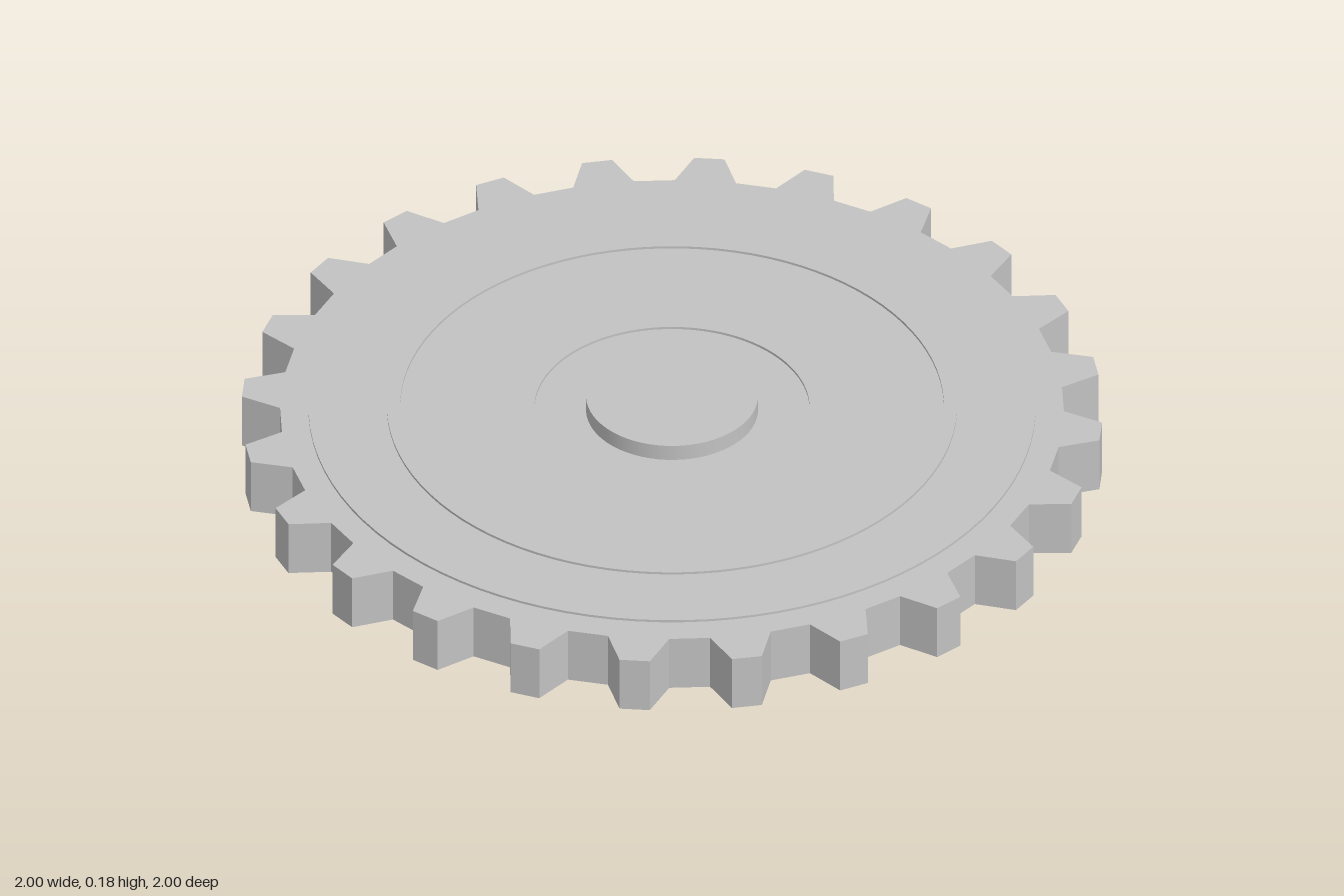
import * as THREE from 'three';
import { toCreasedNormals } from 'three/addons/utils/BufferGeometryUtils.js';

export function createModel() {
  const group = new THREE.Group();
  group.name = 'gear';
  const steel = new THREE.MeshStandardMaterial({ color: 0xc2c2c2 });
  steel.name = 'steel grey';

  const add = (name, geometry) => {
    const mesh = new THREE.Mesh(geometry, steel);
    mesh.name = name;
    group.add(mesh);
    return mesh;
  };

  // Toothed body: each 15 degree step is a root land followed by a tapered tooth
  const teeth = 24, rootR = 0.911, tipR = 1.001, thickness = 0.14;
  const step = [[0, rootR], [6, rootR], [8.55, tipR], [12.6, tipR]];
  const outline = [];
  for (let i = 0; i < teeth; i++) {
    for (const [deg, r] of step) {
      const a = THREE.MathUtils.degToRad(i * 360 / teeth + deg);
      outline.push(new THREE.Vector2(r * Math.sin(a), r * Math.cos(a)));
    }
  }
  const body = new THREE.ExtrudeGeometry(new THREE.Shape(outline), { depth: thickness, bevelEnabled: false });
  body.rotateX(-Math.PI / 2);
  add('toothedBody', body);

  // Stepped face: shallow plate, raised rim, recessed web and hub recess
  const profile = [
    [0.845, 0.14], [0.845, 0.146], [0.663, 0.146], [0.663, 0.152],
    [0.632, 0.152], [0.632, 0.146], [0.32, 0.146], [0.32, 0.14],
  ].map(([r, y]) => new THREE.Vector2(r, y));
  add('steppedFace', toCreasedNormals(new THREE.LatheGeometry(profile, 96), 0.6));

  // Central hub
  const hub = add('hub', new THREE.CylinderGeometry(0.2, 0.2, 0.04, 64));
  hub.position.y = 0.16;

  return group;
}
